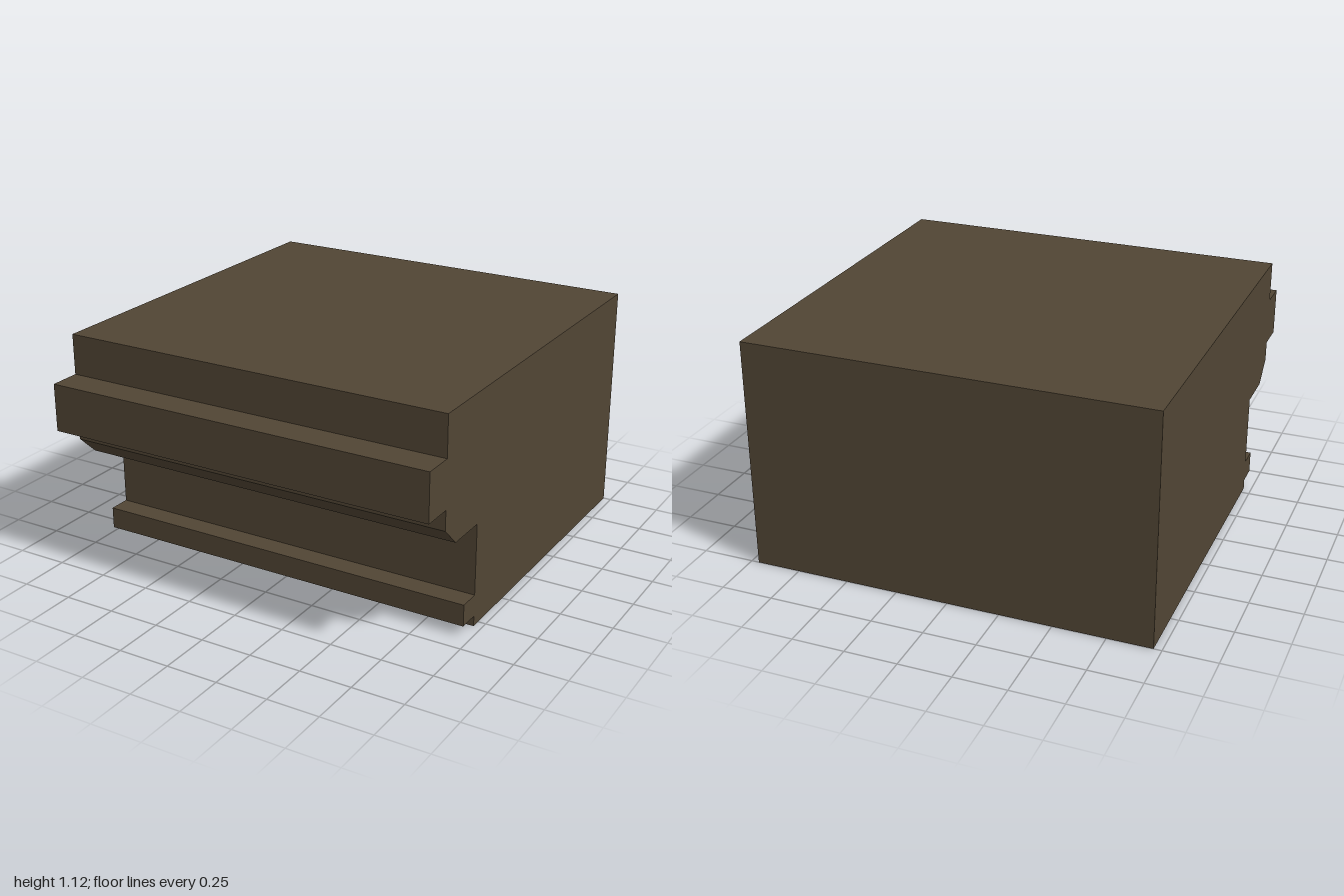
import * as THREE from 'three';

const WIDTH = 1.925;

// Side profile as [z, y] points, counter-clockwise from the bottom back corner
const PROFILE = [
  [-1, 0], [0.545, 0],
  [0.545, 0.05], [0.65, 0.05], [0.65, 0.155], [0.545, 0.155], // lower bead
  [0.545, 0.5], [0.75, 0.5], [0.85, 0.595],                   // recess and chamfer
  [0.85, 0.69], [1, 0.69], [1, 0.92], [0.85, 0.92],           // upper ledge
  [0.85, 1.115], [-1, 1.115],
];

export function createModel() {
  const group = new THREE.Group();
  group.name = 'mouldedBlock';

  const brown = new THREE.MeshStandardMaterial({ color: 0x514534 });
  brown.name = 'dark brown';

  // Moulding profile swept across the full width
  const shape = new THREE.Shape(PROFILE.map(([z, y]) => new THREE.Vector2(z, y)));
  const geometry = new THREE.ExtrudeGeometry(shape, { depth: WIDTH, bevelEnabled: false });
  geometry.translate(0, 0, -WIDTH / 2);
  geometry.rotateY(-Math.PI / 2);

  const block = new THREE.Mesh(geometry, brown);
  block.name = 'corniceBlock';
  group.add(block);
  return group;
}
